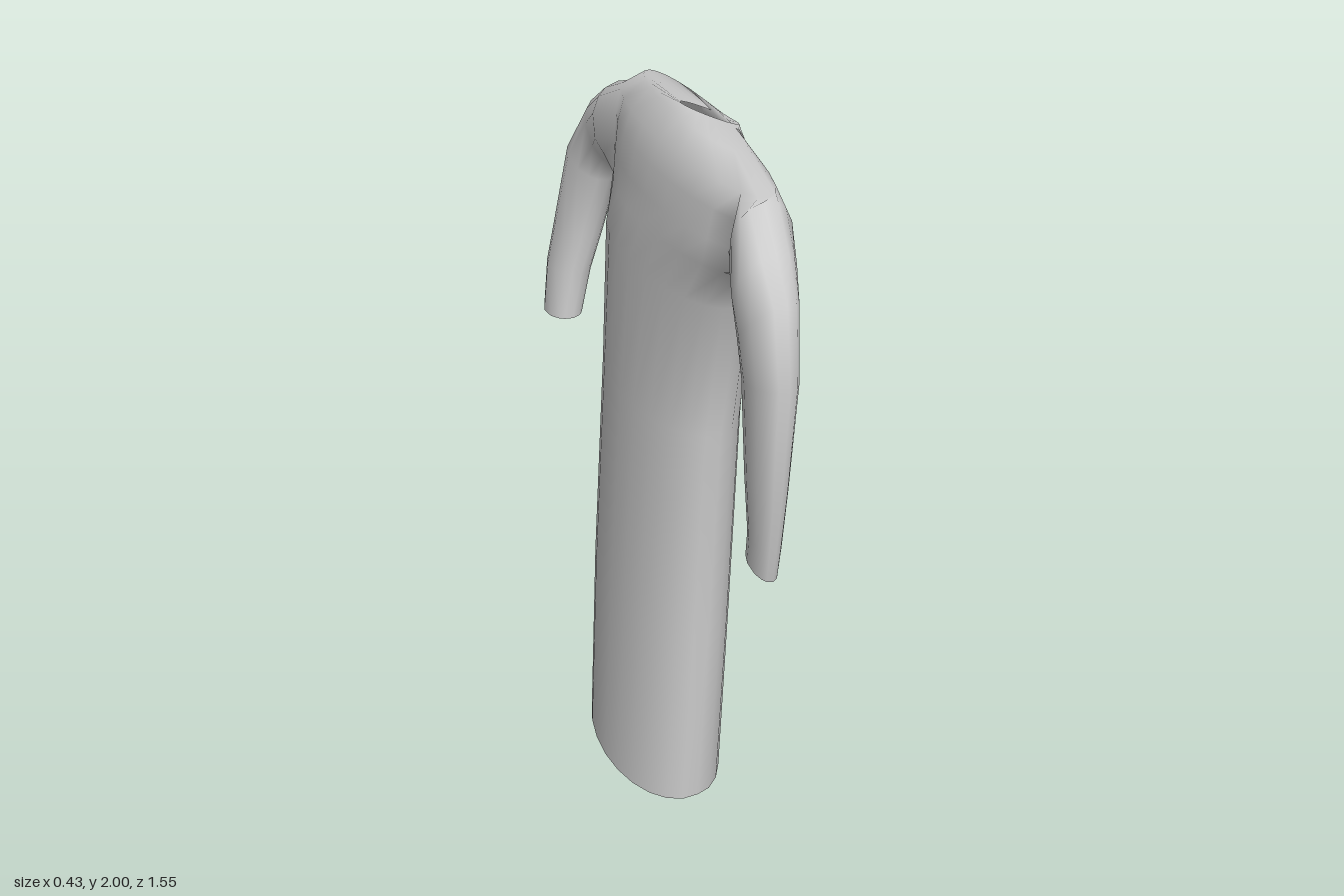
import * as THREE from 'three';

const N = 24; // columns around the body; column 0 points to +z, column 12 to -z
const HOLE = { low: 4, high: 7, half: 2 }; // rows and columns left open for each sleeve

// Body rings: y and z at the +z end, y and z at the -z end, centre x, half depth, skew, dip, tilt
const bodyRings = [
  [0.02, 0.29, 0.02, -0.33, -0.05, 0.17, -0.10, 0.02, 0],
  [0.60, 0.30, 0.60, -0.325, -0.028, 0.163, -0.10, 0, 0],
  [1.24, 0.31, 1.24, -0.32, 0, 0.153, -0.12, 0, 0],
  [1.62, 0.37, 1.61, -0.38, 0.02, 0.14, -0.15, 0, 0],
  [1.76, 0.50, 1.70, -0.43, 0.03, 0.13, -0.20, 0, 0],
  [1.82, 0.51, 1.78, -0.44, 0.035, 0.122, -0.20, 0, 0],
  [1.89, 0.52, 1.86, -0.45, 0.04, 0.112, -0.20, 0, 0],
  [1.95, 0.52, 1.92, -0.45, 0.045, 0.092, -0.20, 0, 0],
  [1.975, 0.31, 1.98, -0.33, 0.068, 0.07, -0.20, 0, 0.015],
  [1.97, 0.10, 1.97, -0.06, 0.10, 0.07, 0, 0, 0.03],
];

// Sleeve rings: outer z, y, inner z, y, centre x, half depth
const leftSleeve = [
  [0.53, 1.95, 0.51, 1.76, -0.08, 0.085],
  [0.64, 1.875, 0.555, 1.72, -0.12, 0.08],
  [0.73, 1.80, 0.59, 1.66, -0.15, 0.065],
  [0.775, 1.62, 0.62, 1.60, -0.165, 0.055],
  [0.755, 1.33, 0.625, 1.36, -0.16, 0.042],
  [0.735, 1.17, 0.635, 1.20, -0.155, 0.035],
  [0.72, 1.08, 0.62, 1.12, -0.15, 0.032],
];
const rightSleeve = [
  [-0.47, 1.915, -0.44, 1.70, 0.115, 0.09],
  [-0.62, 1.83, -0.50, 1.66, 0.14, 0.075],
  [-0.745, 1.67, -0.56, 1.60, 0.13, 0.07],
  [-0.765, 1.45, -0.595, 1.42, 0.09, 0.067],
  [-0.775, 1.31, -0.615, 1.30, 0.06, 0.062],
  [-0.755, 1.165, -0.62, 1.16, 0.03, 0.055],
];

export function createModel() {
  const pos = [];
  const index = [];
  const add = (x, y, z) => pos.push(x, y, z) / 3 - 1;
  const quad = (a, b, c, d, flip) =>
    flip ? index.push(a, c, b, a, d, c) : index.push(a, b, c, a, c, d);
  const vert = (row, col) => row * N + ((col + N) % N);

  // Body and neck opening
  for (const [yL, zL, yR, zR, cx, depth, skew, dip, tilt] of bodyRings) {
    for (let j = 0; j < N; j++) {
      const a = (j / N) * Math.PI * 2;
      const s = Math.sin(a);
      const t = (1 + Math.cos(a)) / 2;
      const z = THREE.MathUtils.lerp(zR, zL, t);
      const y = THREE.MathUtils.lerp(yR, yL, t) - dip * Math.abs(s) - tilt * s;
      add(cx + depth * s + skew * z, y, z);
    }
  }
  const isHole = (i, j) => {
    if (i < HOLE.low || i >= HOLE.high) return false;
    const k = (j + HOLE.half) % (N / 2);
    return k < HOLE.half * 2;
  };
  for (let i = 0; i < bodyRings.length - 1; i++) {
    for (let j = 0; j < N; j++) {
      if (!isHole(i, j)) quad(vert(i, j), vert(i, j + 1), vert(i + 1, j + 1), vert(i + 1, j));
    }
  }

  // Walk round the edge of an armhole as [column offset, row]
  const { low, high, half } = HOLE;
  const edge = [];
  for (let u = -half; u < half; u++) edge.push([u, low]);
  for (let v = low; v < high; v++) edge.push([half, v]);
  for (let u = half; u > -half; u--) edge.push([u, high]);
  for (let v = high; v > low; v--) edge.push([-half, v]);
  const mid = (low + high) / 2;
  const angles = edge.map(([u, v]) => Math.atan2((v - mid) / (high - mid), u / half));

  // Sleeves grow out of the armholes
  function sleeve(rings, right) {
    let last = edge.map(([u, v]) => vert(v, right ? N / 2 - u : u));
    for (const [oz, oy, iz, iy, x, depth] of rings) {
      const next = angles.map((a) => {
        const s = Math.sin(a) / 2;
        return add(x + depth * Math.cos(a), (oy + iy) / 2 + (oy - iy) * s, (oz + iz) / 2 + (oz - iz) * s);
      });
      last.forEach((p, m) => {
        const n = (m + 1) % last.length;
        quad(p, last[n], next[n], next[m], right);
      });
      last = next;
    }
  }
  sleeve(leftSleeve, false);
  sleeve(rightSleeve, true);

  const geometry = new THREE.BufferGeometry();
  geometry.setAttribute('position', new THREE.Float32BufferAttribute(pos, 3));
  geometry.setIndex(index);
  geometry.computeVertexNormals();

  const robe = new THREE.Mesh(
    geometry,
    new THREE.MeshStandardMaterial({ color: 0xcccccc, side: THREE.DoubleSide })
  );
  robe.name = 'robe';
  const group = new THREE.Group();
  group.name = 'longSleevedRobe';
  group.add(robe);
  return group;
}
